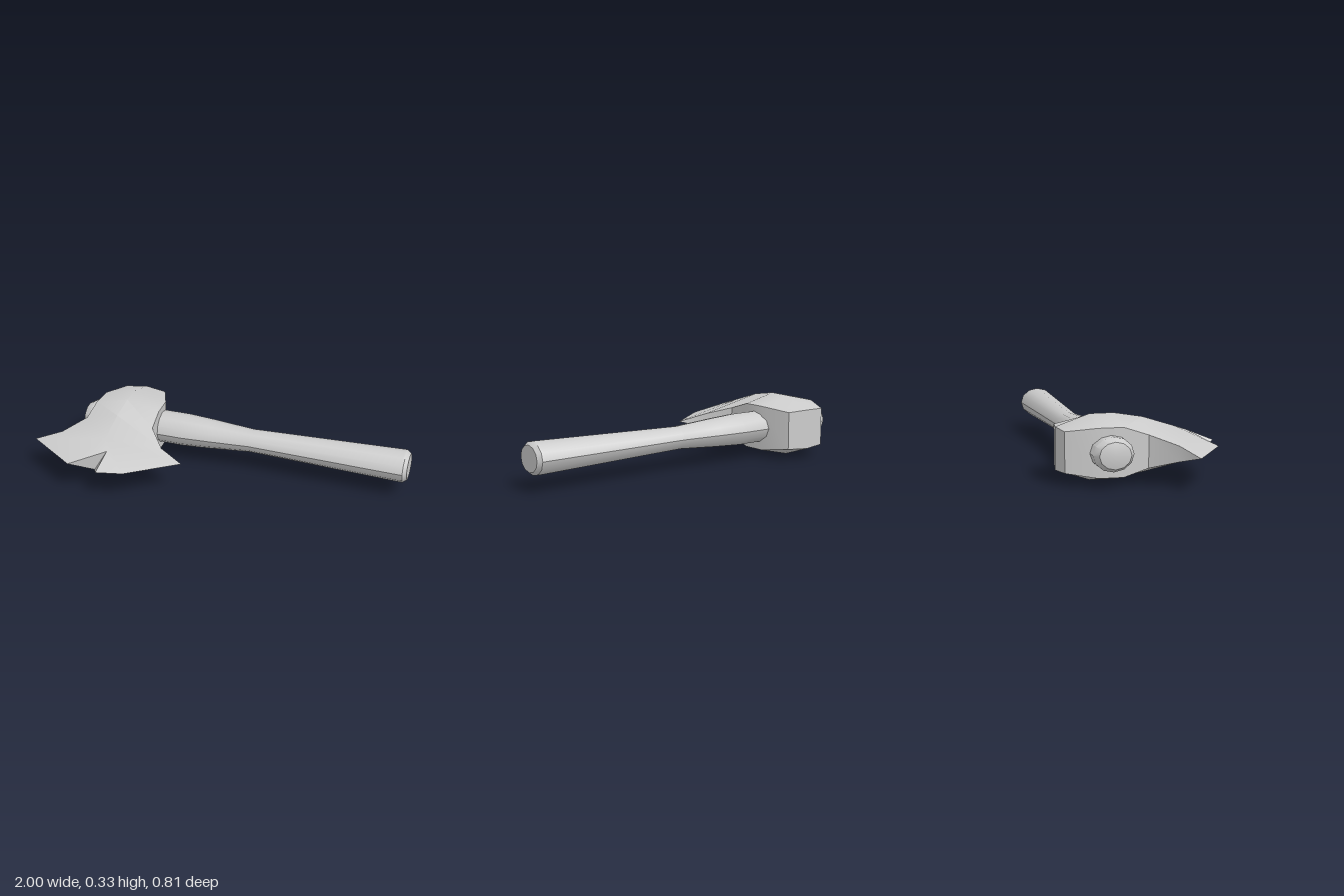
import * as THREE from 'three';
import { toCreasedNormals } from 'three/addons/utils/BufferGeometryUtils.js';

const CX = -0.575, CY = 0.165, CZ = -0.18;

// Collects polygons (counter-clockwise seen from outside) as triangles
function facesToGeometry(faces) {
  const pos = [];
  for (const f of faces) {
    for (let i = 1; i < f.length - 1; i++) pos.push(...f[0], ...f[i], ...f[i + 1]);
  }
  const g = new THREE.BufferGeometry();
  g.setAttribute('position', new THREE.Float32BufferAttribute(pos, 3));
  return g;
}

// Oval handle: slim waist, bevelled butt, domed end poking through the head
function makeHandle(material) {
  const profile = [
    [0, -0.85], [0.078, -0.835], [0.1, -0.8], [0.102, -0.25], [0.092, -0.1], [0.072, 0.13],
    [0.1, 0.965], [0.099, 0.975], [0.08, 0.995], [0, 0.995],
  ].map(([r, x]) => new THREE.Vector2(r, x));
  const g = new THREE.LatheGeometry(profile, 12);
  g.rotateZ(-Math.PI / 2);
  g.scale(1, 0.84, 1);
  g.translate(0, CY, CZ);
  const mesh = new THREE.Mesh(toCreasedNormals(g, 0.6), material);
  mesh.name = 'handle';
  return mesh;
}

function makeHead(material, flatMaterial) {
  // Stations from poll to blade: side z, half width, side half height, ridge z, ridge half height
  const stations = [
    [-0.39, 0.118, 0.1, -0.41, 0.106],
    [-0.24, 0.18, 0.12, -0.24, 0.163],
    [-0.12, 0.185, 0.12, -0.12, 0.163],
    [0, 0.193, 0.08, 0.025, 0.138],
    [0.12, 0.29, 0.038, 0.19, 0.085],
  ];
  const last = stations.length - 1;
  const L = (i, s) => [CX - stations[i][1], CY + s * stations[i][2], stations[i][0]];
  const R = (i, s) => [CX + stations[i][1], CY + s * stations[i][2], stations[i][0]];
  const M = (i, s) => [CX, CY + s * stations[i][4], stations[i][3]];

  // Cutting edge corners and the skewed notch
  const tipL = [-1, CY, 0.18], tipR = [-0.15, CY, 0.18];
  const edgeL = [-0.72, CY, 0.37], edgeR = [-0.405, CY, 0.372];
  const barb = [-0.545, CY, 0.405];
  const notchTop = [-0.535, 0.22, 0.27], notchBottom = [-0.6, 0.11, 0.295];

  const faces = [];
  for (const s of [1, -1]) {
    // Upper and lower cheeks
    const add = (...p) => faces.push(s > 0 ? p : p.reverse());
    for (let i = 0; i < last; i++) {
      add(L(i, s), L(i + 1, s), M(i + 1, s), M(i, s));
      add(M(i, s), M(i + 1, s), R(i + 1, s), R(i, s));
    }
    // Flared blade around the notch
    const m = M(last, s), n = s > 0 ? notchTop : notchBottom;
    add(m, L(last, s), tipL);
    add(m, tipL, edgeL);
    add(m, edgeL, n);
    add(n, barb, edgeR);
    add(m, n, edgeR);
    add(m, edgeR, tipR);
    add(m, tipR, R(last, s));
  }
  // Side walls
  for (let i = 0; i < last; i++) {
    faces.push([L(i, 1), L(i, -1), L(i + 1, -1), L(i + 1, 1)]);
    faces.push([R(i + 1, 1), R(i + 1, -1), R(i, -1), R(i, 1)]);
  }
  faces.push([L(last, 1), L(last, -1), tipL], [tipR, R(last, -1), R(last, 1)]);
  // Notch walls
  faces.push([edgeL, notchBottom, notchTop], [notchTop, notchBottom, barb]);

  const blade = new THREE.Mesh(toCreasedNormals(facesToGeometry(faces), 0.55), material);
  blade.name = 'blade';

  // Two-facet poll closing the back
  const pollGeometry = facesToGeometry([
    [R(0, 1), R(0, -1), M(0, -1), M(0, 1)],
    [M(0, 1), M(0, -1), L(0, -1), L(0, 1)],
  ]);
  pollGeometry.computeVertexNormals();
  const poll = new THREE.Mesh(pollGeometry, flatMaterial);
  poll.name = 'poll';

  const head = new THREE.Group();
  head.name = 'axeHead';
  head.add(blade, poll);
  return head;
}

export function createModel() {
  const material = new THREE.MeshStandardMaterial({ color: 0xcccccc });
  const flatMaterial = new THREE.MeshStandardMaterial({ color: 0xcccccc, flatShading: true });
  const axe = new THREE.Group();
  axe.name = 'axe';
  axe.add(makeHandle(material), makeHead(material, flatMaterial));
  return axe;
}
